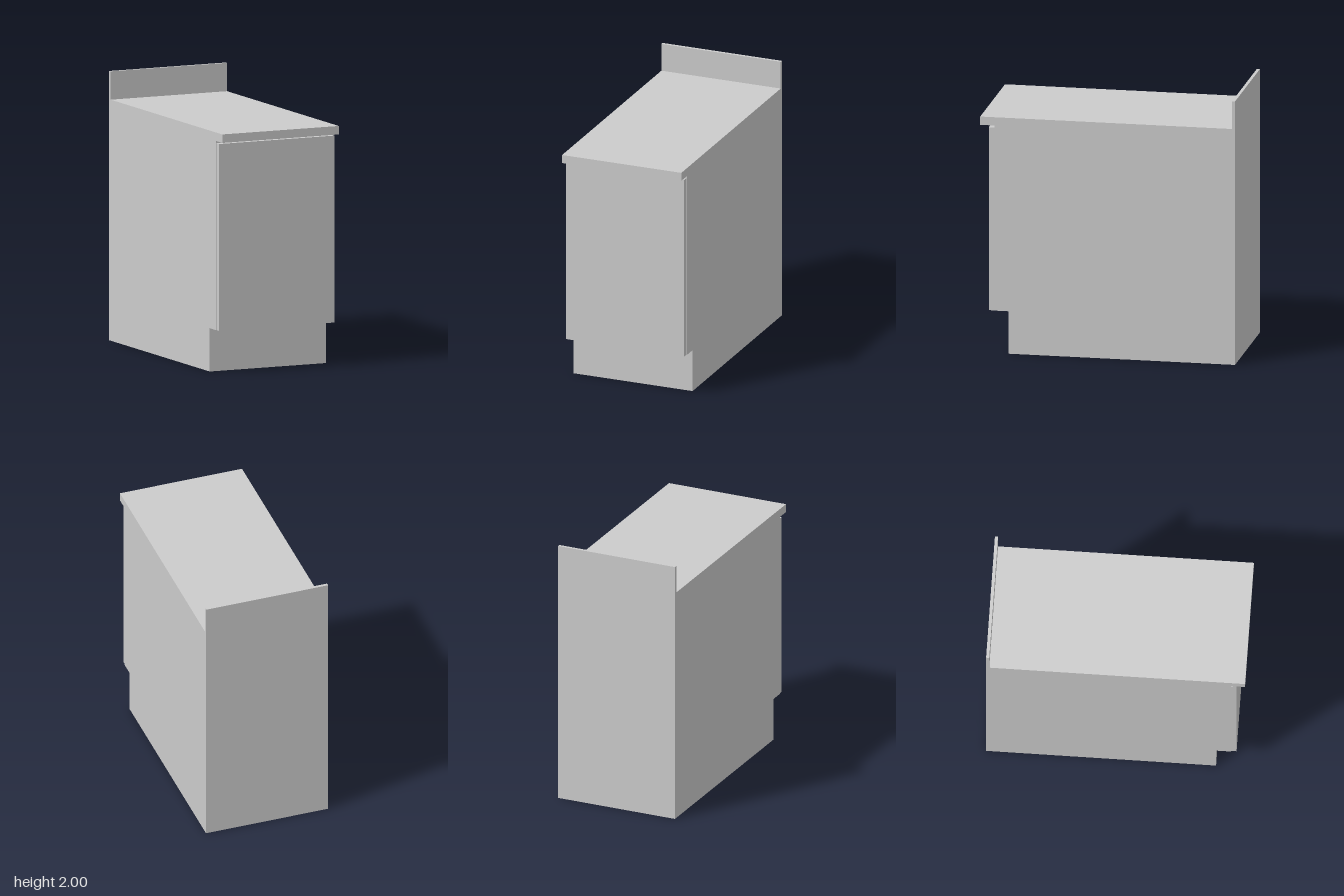
import * as THREE from 'three';

export function createModel() {
  const group = new THREE.Group();
  group.name = 'baseCabinet';
  const material = new THREE.MeshStandardMaterial({ color: 0xcccccc, flatShading: true });
  const width = 0.95;

  // Carcass, toe kick, overhanging worktop and backsplash: one side profile (z, y) run across the width
  const profile = new THREE.Shape([
    [-0.953, 0], [0.74, 0], [0.74, 0.322], [0.848, 0.322], [0.848, 1.727], [0.953, 1.727],
    [0.953, 1.79], [-0.93, 1.79], [-0.93, 2], [-0.953, 2],
  ].map(([z, y]) => new THREE.Vector2(z, y)));
  const bodyGeometry = new THREE.ExtrudeGeometry(profile, { depth: width, bevelEnabled: false });
  bodyGeometry.translate(0, 0, -width / 2).rotateY(-Math.PI / 2);
  const body = new THREE.Mesh(bodyGeometry, material);
  body.name = 'cabinetBodyWithWorktop';
  group.add(body);

  // Door panel, slightly narrower than the carcass and just short of the worktop
  const door = new THREE.Mesh(new THREE.BoxGeometry(width - 0.01, 1.388, 0.042), material);
  door.name = 'door';
  door.position.set(0, 0.322 + 0.694, 0.848 + 0.021);
  group.add(door);

  return group;
}
